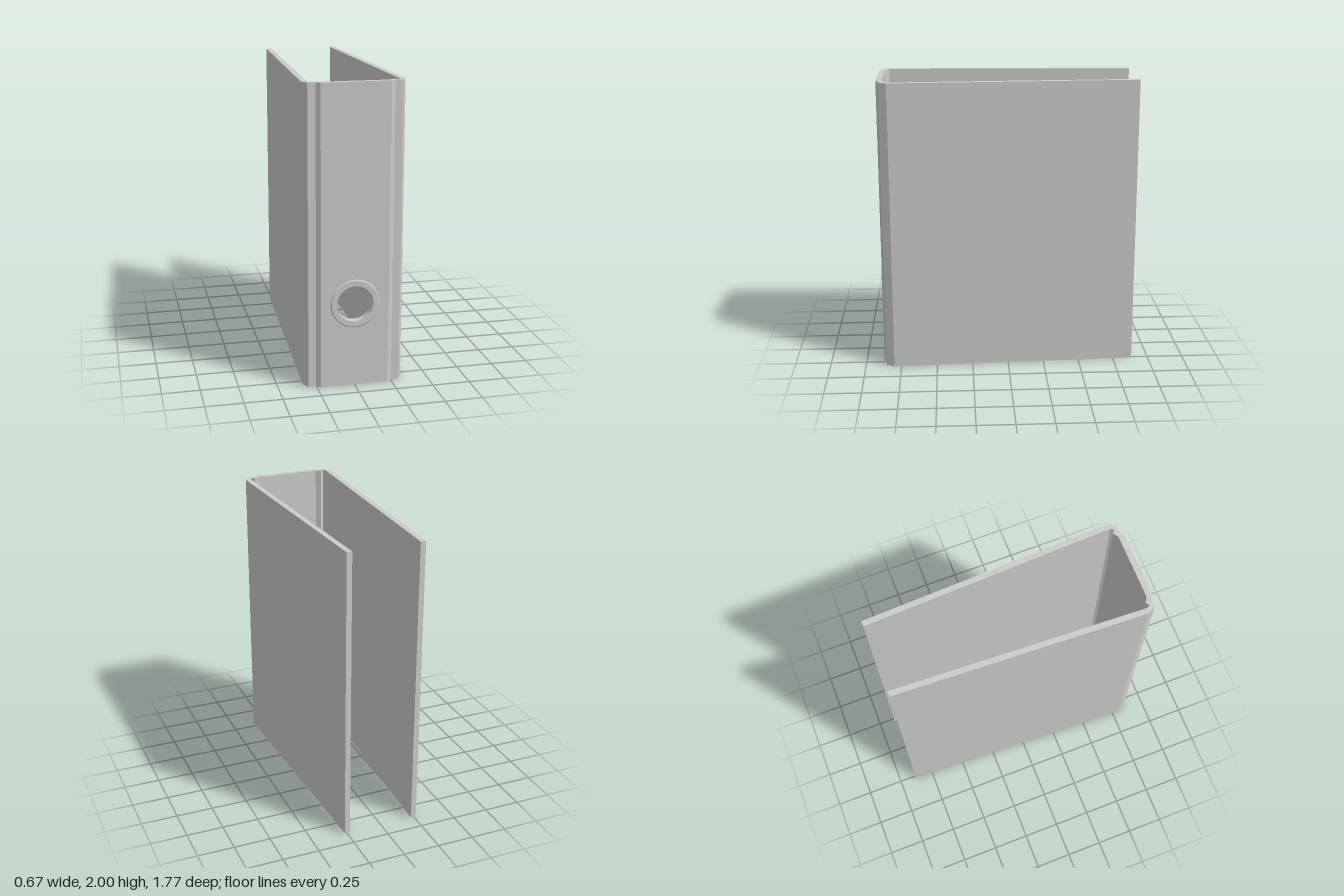
import * as THREE from 'three';
import { toCreasedNormals } from 'three/addons/utils/BufferGeometryUtils.js';

const HEIGHT = 2;
const SPINE_HALF = 0.225;  // half width of the flat spine
const SPINE_BACK = 0.835, SPINE_FRONT = 0.875;
const HOLE_Y = 0.563;

// Plan outlines for the left (+x) side as [x, z]
const COVER = [[0.265, -0.883], [0.333, 0.8], [0.295, 0.81], [0.228, -0.883]];
const HINGE = [
  [0.333, 0.8], [0.304, 0.855], [0.253, 0.855], [SPINE_HALF, SPINE_FRONT],
  [SPINE_HALF, SPINE_BACK], [0.258, 0.812], [0.28, 0.83], [0.295, 0.81],
];

// Extrude a plan outline upwards, on either side
function upright(outline, side) {
  const shape = new THREE.Shape(outline.map(([x, z]) => new THREE.Vector2(side * x, -z)));
  return new THREE.ExtrudeGeometry(shape, { depth: HEIGHT, bevelEnabled: false }).rotateX(-Math.PI / 2);
}

export function createModel() {
  const group = new THREE.Group();
  group.name = 'leverArchBinder';
  const material = new THREE.MeshStandardMaterial({ color: 0xcccccc });
  const add = (name, geometry) => {
    const mesh = new THREE.Mesh(geometry, material);
    mesh.name = name;
    group.add(mesh);
    return mesh;
  };

  // Cover boards and creased hinges, mirrored
  for (const [name, side] of [['left', 1], ['right', -1]]) {
    add(name + 'Cover', upright(COVER, side));
    add(name + 'Hinge', upright(HINGE, side));
  }

  // Spine board with the finger hole
  const board = new THREE.Shape([
    new THREE.Vector2(-SPINE_HALF, 0), new THREE.Vector2(SPINE_HALF, 0),
    new THREE.Vector2(SPINE_HALF, HEIGHT), new THREE.Vector2(-SPINE_HALF, HEIGHT),
  ]);
  board.holes.push(new THREE.Path().absarc(0, HOLE_Y, 0.14, 0, Math.PI * 2, true));
  const spine = add('spine', new THREE.ExtrudeGeometry(board, {
    depth: SPINE_FRONT - SPINE_BACK, bevelEnabled: false, curveSegments: 32,
  }));
  spine.position.z = SPINE_BACK;

  // Metal finger ring, slightly proud of both spine faces
  const section = [[0.12, 0.027], [0.12, -0.027], [0.155, -0.027], [0.162, -0.021],
    [0.162, 0.021], [0.155, 0.027], [0.12, 0.027]].map(([r, h]) => new THREE.Vector2(r, h));
  const ring = add('fingerRing', toCreasedNormals(new THREE.LatheGeometry(section, 64).rotateX(Math.PI / 2), 0.5));
  ring.position.set(0, HOLE_Y, (SPINE_BACK + SPINE_FRONT) / 2);

  return group;
}
